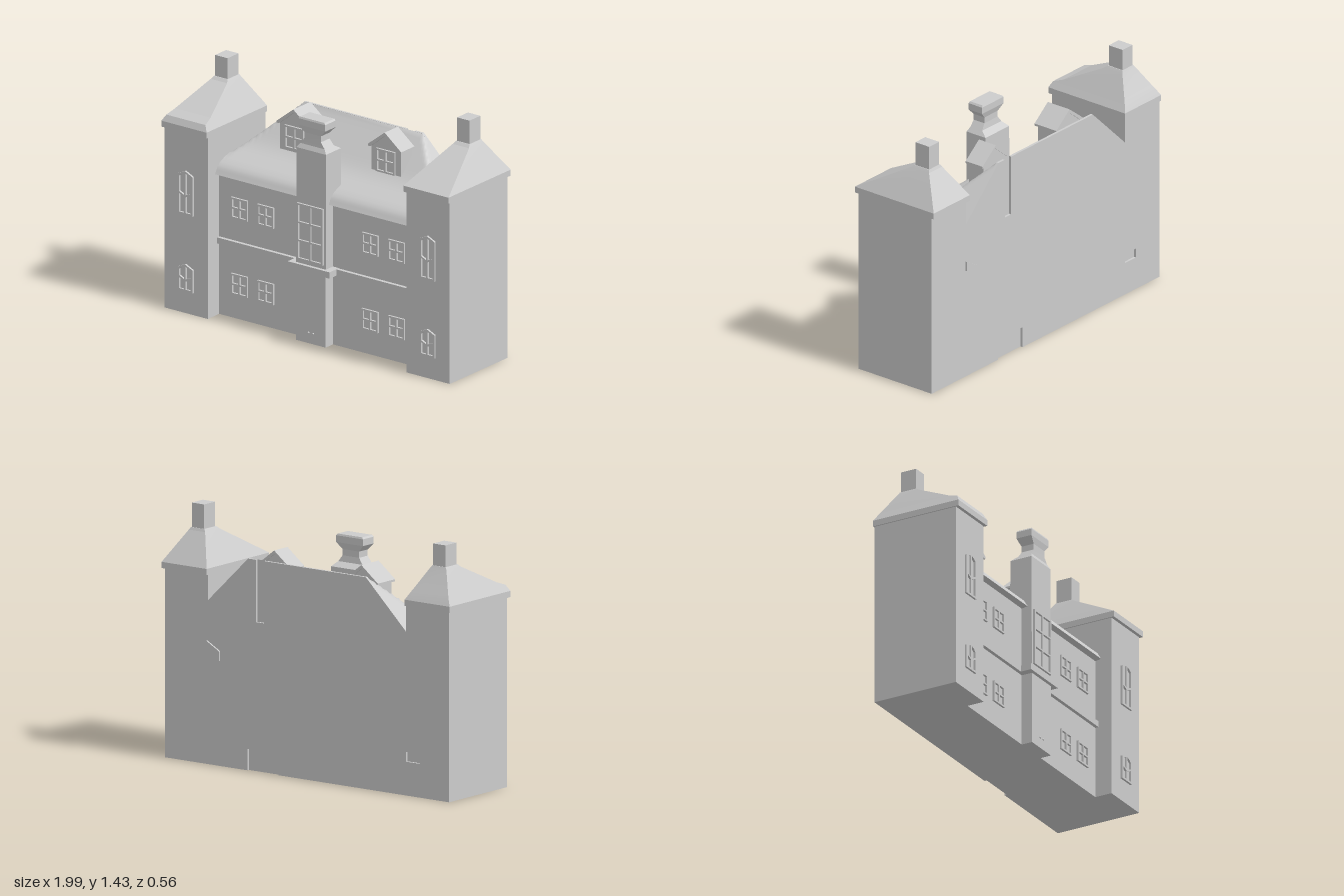
import * as THREE from 'three';
import { toCreasedNormals } from 'three/addons/utils/BufferGeometryUtils.js';

const mat = new THREE.MeshStandardMaterial({ color: 0xcccccc });

function add(parent, name, geometry) {
  const mesh = new THREE.Mesh(geometry, mat);
  mesh.name = name;
  parent.add(mesh);
  return mesh;
}

// Skin a stack of equal-length rings, closed with end caps
function loft(rings, crease = 0.1) {
  const pos = [];
  const tri = (...pts) => pts.forEach((p) => pos.push(...p));
  const n = rings[0].length;
  for (let r = 0; r < rings.length - 1; r++) {
    for (let i = 0; i < n; i++) {
      const j = (i + 1) % n;
      const a = rings[r][i], b = rings[r][j], c = rings[r + 1][j], d = rings[r + 1][i];
      tri(a, b, c);
      tri(a, c, d);
    }
  }
  const first = rings[0], last = rings[rings.length - 1];
  for (let i = 1; i < n - 1; i++) {
    tri(first[0], first[i + 1], first[i]);
    tri(last[0], last[i], last[i + 1]);
  }
  const g = new THREE.BufferGeometry();
  g.setAttribute('position', new THREE.Float32BufferAttribute(pos, 3));
  return toCreasedNormals(g, crease);
}

// Rectangular sections given as [y, x0, x1, z0, z1]
const tower = (sections) => loft(sections.map(([y, x0, x1, z0, z1]) =>
  [[x0, y, z1], [x1, y, z1], [x1, y, z0], [x0, y, z0]]));

const block = (x0, x1, y0, y1, z0, z1) =>
  new THREE.BoxGeometry(x1 - x0, y1 - y0, z1 - z0).translate((x0 + x1) / 2, (y0 + y1) / 2, (z0 + z1) / 2);

const polygon = (pts) => pts.map(([x, y]) => new THREE.Vector2(x, y));

// Flat panel cut out along an outline, with holes
function panel(outline, holes, depth) {
  const shape = new THREE.Shape(polygon(outline));
  holes.forEach((p) => shape.holes.push(new THREE.Path(polygon(p))));
  return new THREE.ExtrudeGeometry(shape, { depth, bevelEnabled: false });
}

const rect = (x0, x1, y0, y1) => [[x0, y0], [x1, y0], [x1, y1], [x0, y1]];

// Rectangular window frame with a grid of panes
function gridWindow(w, h, cols, rows) {
  const rim = 0.01, bar = 0.01, panes = [];
  const pw = (w - 2 * rim - (cols - 1) * bar) / cols;
  const ph = (h - 2 * rim - (rows - 1) * bar) / rows;
  for (let i = 0; i < cols; i++) {
    for (let j = 0; j < rows; j++) {
      const x = -w / 2 + rim + i * (pw + bar), y = rim + j * (ph + bar);
      panes.push(rect(x, x + pw, y, y + ph));
    }
  }
  return panel(rect(-w / 2, w / 2, 0, h), panes, 0.012);
}

// Narrow window with a pointed head and two rows of panes
function archedWindow(h) {
  const s = h - 0.025, mid = h * 0.45;
  const outline = [[-0.053, 0], [0.053, 0], [0.053, s], [0, h], [-0.053, s]];
  const panes = [];
  for (const k of [-1, 1]) {
    panes.push([[k * 0.005, 0.012], [k * 0.04, 0.012], [k * 0.04, mid + 0.004], [k * 0.005, mid - 0.012]]);
    panes.push([[k * 0.005, mid], [k * 0.04, mid + 0.016], [k * 0.04, s - 0.01], [k * 0.024, h - 0.022], [k * 0.005, h - 0.015]]);
  }
  return panel(outline, panes, 0.012);
}

// Main block: cross-sections along x, with overhanging eaves and a roof hipped at both ends
function mainBlock() {
  const slope = new THREE.CatmullRomCurve3([[0.83, 0.195], [0.88, 0.16], [0.965, -0.02], [1.08, -0.14], [1.19, -0.246]]
    .map(([y, z]) => new THREE.Vector3(0, y, z)));
  const roof = slope.getPoints(18).reverse();
  const xs = [];
  for (let i = 0; i <= 20; i++) xs.push(0.41 + (0.28 * i) / 20);
  const columns = [...xs.map((x) => -x).reverse(), ...xs];
  return loft(columns.map((x) => {
    const cap = 0.92 + ((0.69 - Math.abs(x)) / 0.28) * 0.27;
    return [[x, 0, 0.157], [x, 0, -0.246], ...roof.map((p) => [x, Math.min(p.y, cap), p.z]), [x, 0.825, 0.157]];
  }), 1.2);
}

// Flat rear wall with a flue groove, a door recess and a small vent
function rearWall() {
  const outline = [
    [-0.99, 0], [0.2, 0], [0.2, 0.12], [0.415, 0.12], [0.415, 0], [0.99, 0],
    [0.99, 1.07], [0.69, 1.07], [0.69, 0.92], [0.41, 1.19],
    [0.355, 1.19], [0.355, 0.84], [0.3, 0.84], [0.3, 1.19],
    [-0.41, 1.19], [-0.69, 0.92], [-0.69, 1.07], [-0.99, 1.07],
  ];
  return panel(outline, [rect(-0.785, -0.69, 0.19, 0.245)], 0.015).translate(0, 0, -0.26);
}

function sideTower(side) {
  const g = new THREE.Group();
  g.name = side > 0 ? 'leftTower' : 'rightTower';
  const c = side * 0.84;
  const back = side > 0 ? -0.28 : -0.265;
  // The right roof kicks out over its front eave
  const kick = side > 0 ? [] : [
    [1.135, c - 0.136, c + 0.136, -0.247, 0.262],
    [1.157, c - 0.123, c + 0.123, -0.234, 0.2],
  ];
  add(g, 'towerWalls', block(c - 0.15, c + 0.15, 0, 1.07, -0.246, 0.26));
  add(g, 'towerRoof', tower([
    [1.065, c - 0.157, c + 0.157, back, 0.28],
    [1.1, c - 0.157, c + 0.157, back, 0.28],
    ...kick,
    [1.275, c - 0.057, c + 0.057, -0.165, -0.035],
    [1.29, c - 0.047, c + 0.047, -0.158, -0.052],
  ]));
  add(g, 'towerChimney', block(c - 0.043, c + 0.043, 1.27, side > 0 ? 1.427 : 1.412, -0.155, -0.057));
  for (const [y, h] of [[0.13, 0.16], [0.58, 0.257]]) {
    add(g, 'towerWindow', archedWindow(h)).position.set(c, y, 0.26);
  }
  return g;
}

// Gabled dormer between depths z0 and z1
function dormer(name, x, z0, z1) {
  const g = new THREE.Group();
  g.name = name;
  add(g, 'dormerWalls', panel(
    [[-0.103, 0.962], [0.103, 0.962], [0.103, 1.135], [0, 1.21], [-0.103, 1.135]], [], z1 - z0 - 0.02))
    .position.z = z0 + 0.005;
  add(g, 'dormerRoof', panel(
    [[-0.115, 1.13], [-0.1, 1.13], [0, 1.212], [0.1, 1.13], [0.115, 1.13], [0.115, 1.142], [0, 1.232], [-0.115, 1.142]],
    [], z1 - z0)).position.z = z0;
  add(g, 'dormerWindow', gridWindow(0.13, 0.135, 2, 2)).position.set(0, 0.992, z1 - 0.015);
  g.position.x = x;
  return g;
}

export function createModel() {
  const house = new THREE.Group();
  house.name = 'manorHouse';
  add(house, 'mainBlockAndRoof', mainBlock());
  add(house, 'rearWall', rearWall());
  add(house, 'stringCourse', block(-0.69, 0.69, 0.42, 0.455, 0.14, 0.178));
  house.add(dormer('leftDormer', 0.308, -0.158, -0.038), dormer('rightDormer', -0.312, -0.175, -0.02));

  // Mirrored towers and windows
  for (const side of [-1, 1]) {
    house.add(sideTower(side));
    for (const x of [0.363, 0.545]) {
      for (const y of [0.14, 0.587]) {
        add(house, 'wallWindow', gridWindow(0.112, 0.122, 2, 2)).position.set(side * x, y, 0.157);
      }
    }
  }

  // Central entrance bay, ledge and chimney
  const bay = new THREE.Group();
  bay.name = 'entranceBay';
  add(bay, 'bayBase', block(-0.105, 0.1, 0, 0.43, 0.1, 0.223));
  add(bay, 'bayLedge', block(-0.148, 0.142, 0.42, 0.457, 0.1, 0.243));
  add(bay, 'bayShaftAndChimney', tower([
    [0.45, -0.105, 0.1, 0.08, 0.222],
    [1.13, -0.105, 0.1, 0.085, 0.22],
    [1.155, -0.086, 0.081, 0.125, 0.208],
    [1.19, -0.06, 0.055, 0.13, 0.207],
    [1.225, -0.06, 0.055, 0.13, 0.207],
    [1.262, -0.096, 0.09, 0.118, 0.214],
    [1.3, -0.096, 0.09, 0.118, 0.214],
    [1.31, -0.088, 0.082, 0.122, 0.21],
  ]));
  add(bay, 'bayWindow', gridWindow(0.18, 0.33, 2, 3)).position.set(-0.003, 0.48, 0.222);
  for (const x of [-0.018, 0.014]) {
    add(bay, 'doorKnob', new THREE.SphereGeometry(0.006, 8, 6)).position.set(x, 0.062, 0.224);
  }
  house.add(bay);

  // Slanted vent on the rear wall
  add(house, 'rearVent', panel([[0.605, 0.59], [0.695, 0.64], [0.695, 0.695], [0.605, 0.645]], [], 0.02)
    .translate(0, 0, -0.27));
  return house;
}
